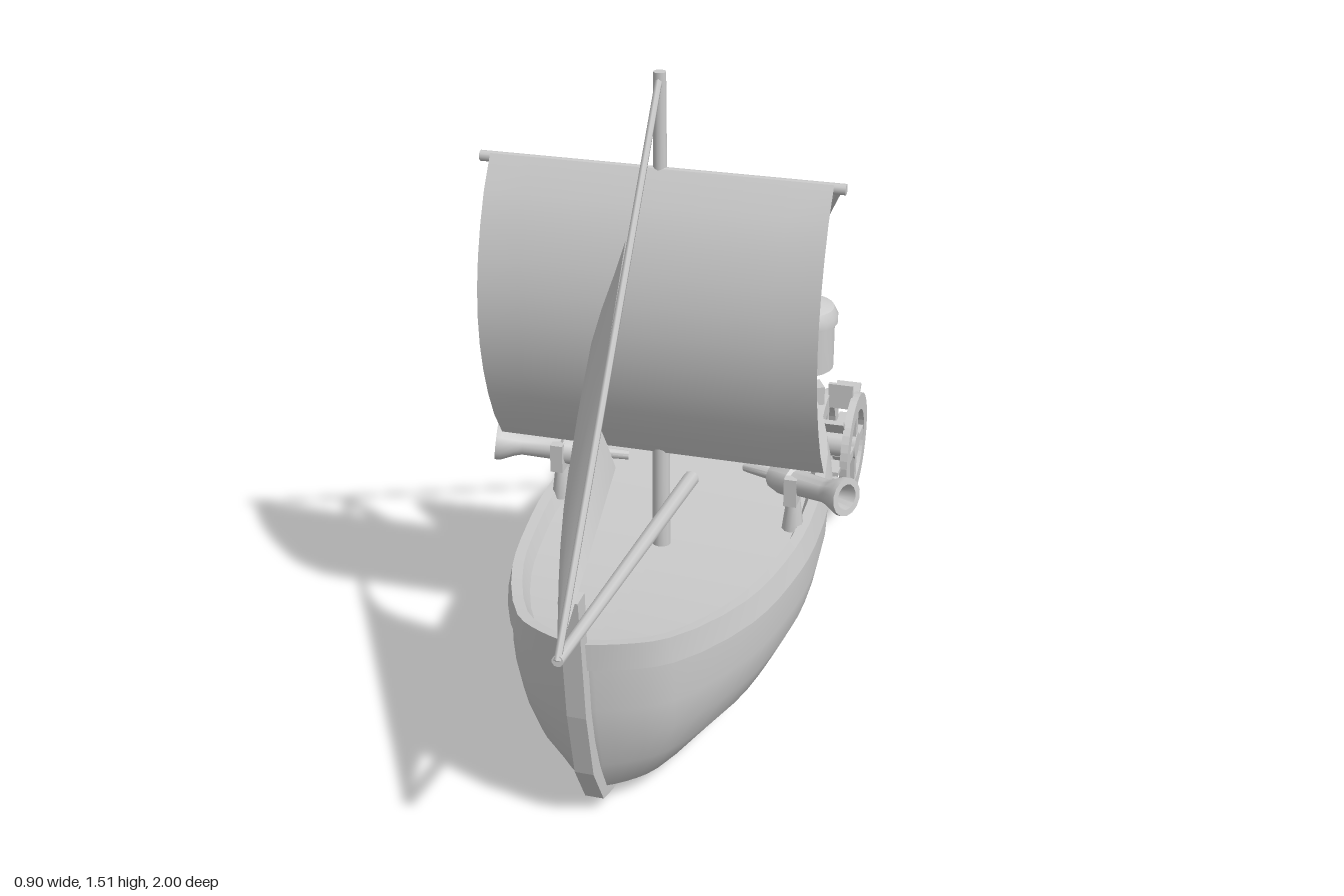
import * as THREE from 'three';
import { toCreasedNormals } from 'three/addons/utils/BufferGeometryUtils.js';

const V = (x, y, z) => new THREE.Vector3(x, y, z);
const grey = new THREE.MeshStandardMaterial({ color: 0xcccccc });
const cloth = new THREE.MeshStandardMaterial({ color: 0xcccccc, side: THREE.DoubleSide });

function add(parent, name, geo, pos = [0, 0, 0], mat = grey) {
  const m = new THREE.Mesh(geo, mat);
  m.name = name;
  m.position.set(...pos);
  parent.add(m);
  return m;
}

// round bar between two points
function bar(parent, name, a, b, r0, r1 = r0, sides = 10) {
  const d = b.clone().sub(a);
  const m = add(parent, name, new THREE.CylinderGeometry(r1, r0, d.length(), sides));
  m.position.copy(a).addScaledVector(d, 0.5);
  m.quaternion.setFromUnitVectors(V(0, 1, 0), d.normalize());
  return m;
}

// flat board cut from [z, y] points, w thick across x
function board(parent, name, pts, w, x = 0) {
  const geo = new THREE.ExtrudeGeometry(
    new THREE.Shape(pts.map(([z, y]) => new THREE.Vector2(-z, y))), { depth: w, bevelEnabled: false });
  geo.translate(0, 0, -w / 2).rotateY(Math.PI / 2);
  return add(parent, name, geo, [x, 0, 0]);
}

// surface through closed rings of equal length
function loft(rings, crease) {
  const n = rings[0].length, idx = [];
  for (let i = 0; i < rings.length - 1; i++)
    for (let j = 0; j < n; j++) {
      const a = i * n + j, b = i * n + (j + 1) % n;
      idx.push(a, b, b + n, a, b + n, a + n);
    }
  const geo = new THREE.BufferGeometry().setFromPoints(rings.flat());
  geo.setIndex(idx);
  geo.computeVertexNormals();
  return crease ? toCreasedNormals(geo, crease) : geo;
}

// sheet whose points are given by rule(u, v)
function sheet(parent, name, nu, nv, rule) {
  const geo = new THREE.PlaneGeometry(1, 1, nu, nv), p = geo.attributes.position;
  for (let i = 0; i < p.count; i++) {
    const q = rule(p.getX(i) + 0.5, p.getY(i) + 0.5);
    p.setXYZ(i, q.x, q.y, q.z);
  }
  geo.computeVertexNormals();
  return add(parent, name, geo, [0, 0, 0], cloth);
}

// half plan of the hull, bow to stern: x as share of beam, z as -1..1
const plan = new THREE.CatmullRomCurve3([[0, 1], [0.27, 0.93], [0.51, 0.82], [0.83, 0.46], [0.95, 0.17],
  [1, -0.11], [0.93, -0.57], [0.68, -0.9], [0.38, -0.985], [0, -1]].map(([x, z]) => V(x, 0, z)), false, 'centripetal');
const half = plan.getPoints(27);
const loop = [...half, ...half.slice(1, -1).reverse().map(p => V(-p.x, 0, p.z))];

// horizontal hull ring; the sheer raises its bow and stern
function ring(h, w, zf, zb) {
  return loop.map(p => {
    const z = (zf + zb) / 2 + p.z * (zf - zb) / 2;
    const lift = z > 0 ? 0.095 * (z / 0.77) ** 2.4 : 0.065 * (-z / 0.6) ** 2.2;
    return V(p.x * w, h + lift * Math.min(1, h / 0.4), z);
  });
}

function addHull(g) {
  add(g, 'hull', loft([ring(0, 0, 0.45, -0.4), ring(0.003, 0.06, 0.5, -0.44), ring(0.015, 0.13, 0.59, -0.49),
    ring(0.05, 0.215, 0.66, -0.515), ring(0.12, 0.285, 0.7, -0.54), ring(0.19, 0.32, 0.73, -0.56),
    ring(0.26, 0.334, 0.75, -0.575), ring(0.355, 0.33, 0.762, -0.59)]));
  add(g, 'gunwale', loft([ring(0.35, 0.325, 0.76, -0.585), ring(0.35, 0.341, 0.772, -0.605),
    ring(0.405, 0.325, 0.782, -0.615), ring(0.405, 0.3, 0.75, -0.59), ring(0.372, 0.285, 0.72, -0.57)], 0.5));
  add(g, 'deck', loft([ring(0.374, 0.292, 0.735, -0.575), ring(0.374, 0, 0.735, -0.575)]));
  board(g, 'stemPost', [[0.45, 0], [0.6, 0.015], [0.67, 0.04], [0.735, 0.15], [0.775, 0.32], [0.81, 0.62],
    [0.765, 0.62], [0.755, 0.45], [0.7, 0.2], [0.62, 0.06]], 0.042);
  board(g, 'rudder', [[-0.3, 0], [-0.65, 0], [-0.665, 0.31], [-0.745, 0.31], [-0.745, 0.46],
    [-0.6, 0.48], [-0.55, 0.42], [-0.5, 0.05]], 0.042);
}

function addRig(g) {
  const top = V(0, 1.51, 0.135), tip = V(0.04, 0.607, 0.992);
  bar(g, 'mast', V(0, 0.35, 0.135), top, 0.022, 0.014, 12);
  bar(g, 'bowsprit', V(0.04, 0.49, 0.02), tip, 0.019, 0.012);
  bar(g, 'forestay', V(0, 1.495, 0.14), tip, 0.008, 0.008, 6);
  bar(g, 'yard', V(-0.405, 1.29, 0.14), V(0.405, 1.29, 0.14), 0.012);
  for (const s of [-1, 1]) bar(g, 'backstay', V(s * 0.39, 1.29, 0.14), V(s * 0.012, 0.47, -0.6), 0.008, 0.008, 6);

  sheet(g, 'mainSail', 8, 10, (u, v) =>
    V((u - 0.5) * 0.76, 0.62 + 0.68 * v, 0.148 + 0.118 * Math.sin(Math.PI * v) ** 0.8));
  sheet(g, 'aftSail', 8, 8, (u, v) =>
    V((u - 0.5) * 0.47, 0.56 + 0.37 * v, -0.16 + 0.055 * Math.sin(Math.PI * v) - 0.03 * (u - 0.5)));
  const leech = new THREE.CatmullRomCurve3([V(-0.035, 0.69, 0.37), V(-0.08, 0.93, 0.415), V(0, 1.23, 0.39)]);
  sheet(g, 'jib', 8, 8, (u, v) => {
    const q = tip.clone().lerp(leech.getPoint(v), u);
    q.x -= 0.02 * Math.sin(Math.PI * u) * Math.sin(Math.PI * v);
    return q;
  });

  bar(g, 'flagPole', V(0, 0.46, -0.592), V(0, 0.83, -0.655), 0.011, 0.009, 8);
  const a = V(0, 0.635, -0.625), b = V(0, 0.815, -0.65), c = V(0, 0.575, -0.97), d = V(0, 0.745, -1);
  sheet(g, 'flag', 4, 4, (u, v) => a.clone().lerp(b, v).lerp(c.clone().lerp(d, v), u));
}

// swivel gun aimed from breech to muzzle
function addGun(g, breech, muzzle, postX) {
  const gun = new THREE.Group();
  gun.name = 'swivelGun';
  g.add(gun);
  const dir = muzzle.clone().sub(breech), L = dir.length();
  const profile = [[0, 0], [0.011, 0], [0.013, 0.26], [0.03, 0.3], [0.037, 0.38], [0.037, 0.5], [0.03, 0.52],
    [0.027, 0.8], [0.032, 0.86], [0.045, 0.96], [0.045, 1], [0.03, 1], [0.022, 0.85], [0, 0.85]];
  const geo = new THREE.LatheGeometry(profile.map(([r, t]) => new THREE.Vector2(r, t * L)), 14);
  const m = add(gun, 'barrel', toCreasedNormals(geo, 0.6), breech.toArray());
  m.quaternion.setFromUnitVectors(V(0, 1, 0), dir.normalize());
  const t = (postX - breech.x) / (muzzle.x - breech.x), p = breech.clone().lerp(muzzle, t);
  bar(gun, 'post', V(p.x, 0.39, p.z), V(p.x, 0.485, p.z), 0.026, 0.014);
  add(gun, 'yoke', new THREE.BoxGeometry(0.03, 0.07, 0.085), [p.x, p.y - 0.01, p.z]);
}

function addPaddleWheel(g, side) {
  const w = new THREE.Group();
  w.name = 'paddleWheel';
  w.position.set(side * 0.254, 0.235, -0.73);
  g.add(w);
  const shape = new THREE.Shape().absarc(0, 0, 0.145, 0, Math.PI * 2);
  shape.holes.push(new THREE.Path().absarc(0, 0, 0.1, 0, Math.PI * 2, true));
  const rim = new THREE.ExtrudeGeometry(shape, { depth: 0.02, bevelEnabled: false, curveSegments: 20 });
  rim.translate(0, 0, -0.01).rotateY(Math.PI / 2);
  for (const x of [-0.04, 0.04]) {
    add(w, 'rim', rim, [x, 0, 0]);
    for (const r of [0, Math.PI / 2])
      add(w, 'spokes', new THREE.BoxGeometry(0.016, 0.21, 0.026), [x, 0, 0]).rotation.x = r;
  }
  add(w, 'hub', new THREE.CylinderGeometry(0.036, 0.036, 0.1, 14)).rotation.z = Math.PI / 2;
  for (let i = 0; i < 8; i++) {
    const t = i * Math.PI / 4;
    add(w, 'paddle', new THREE.BoxGeometry(0.066, 0.07, 0.012),
      [0, 0.143 * Math.cos(t), 0.143 * Math.sin(t)]).rotation.x = t;
  }
}

function addEngine(g) {
  bar(g, 'axle', V(-0.3, 0.235, -0.73), V(0.3, 0.235, -0.73), 0.023, 0.023, 12);
  for (const s of [-1, 1]) {
    addPaddleWheel(g, s);
    // bracket: beam out from the stern with a post down to the axle
    board(g, 'wheelBracket', [[-0.54, 0.46], [-0.54, 0.4], [-0.7, 0.4], [-0.7, 0.2], [-0.765, 0.2], [-0.765, 0.46]],
      0.035, s * 0.16);
    add(g, 'sternBlock', new THREE.BoxGeometry(0.09, 0.05, 0.05), [s * 0.19, 0.455, -0.565]).rotation.y = s * 0.5;
  }
  // boiler, domed lid and chimney with a pointed cap
  const profile = [[0, 0.46], [0.083, 0.46], [0.083, 0.59], [0.091, 0.59], [0.091, 0.61], [0.08, 0.632],
    [0.05, 0.645], [0.026, 0.65], [0.026, 0.765], [0.036, 0.765], [0, 0.825]];
  const geo = new THREE.LatheGeometry(profile.map(([r, y]) => new THREE.Vector2(r, y)), 20);
  add(g, 'boiler', toCreasedNormals(geo, 0.6), [0.147, 0, -0.73]);
  add(g, 'fireDoor', new THREE.BoxGeometry(0.06, 0.045, 0.02), [0.147, 0.53, -0.81]);
}

export function createModel() {
  const g = new THREE.Group();
  g.name = 'paddleBoat';
  addHull(g);
  addRig(g);
  addGun(g, V(-0.13, 0.5, -0.035), V(-0.435, 0.537, 0.045), -0.285);
  addGun(g, V(0.15, 0.49, -0.07), V(0.425, 0.537, 0.095), 0.285);
  addEngine(g);
  return g;
}
